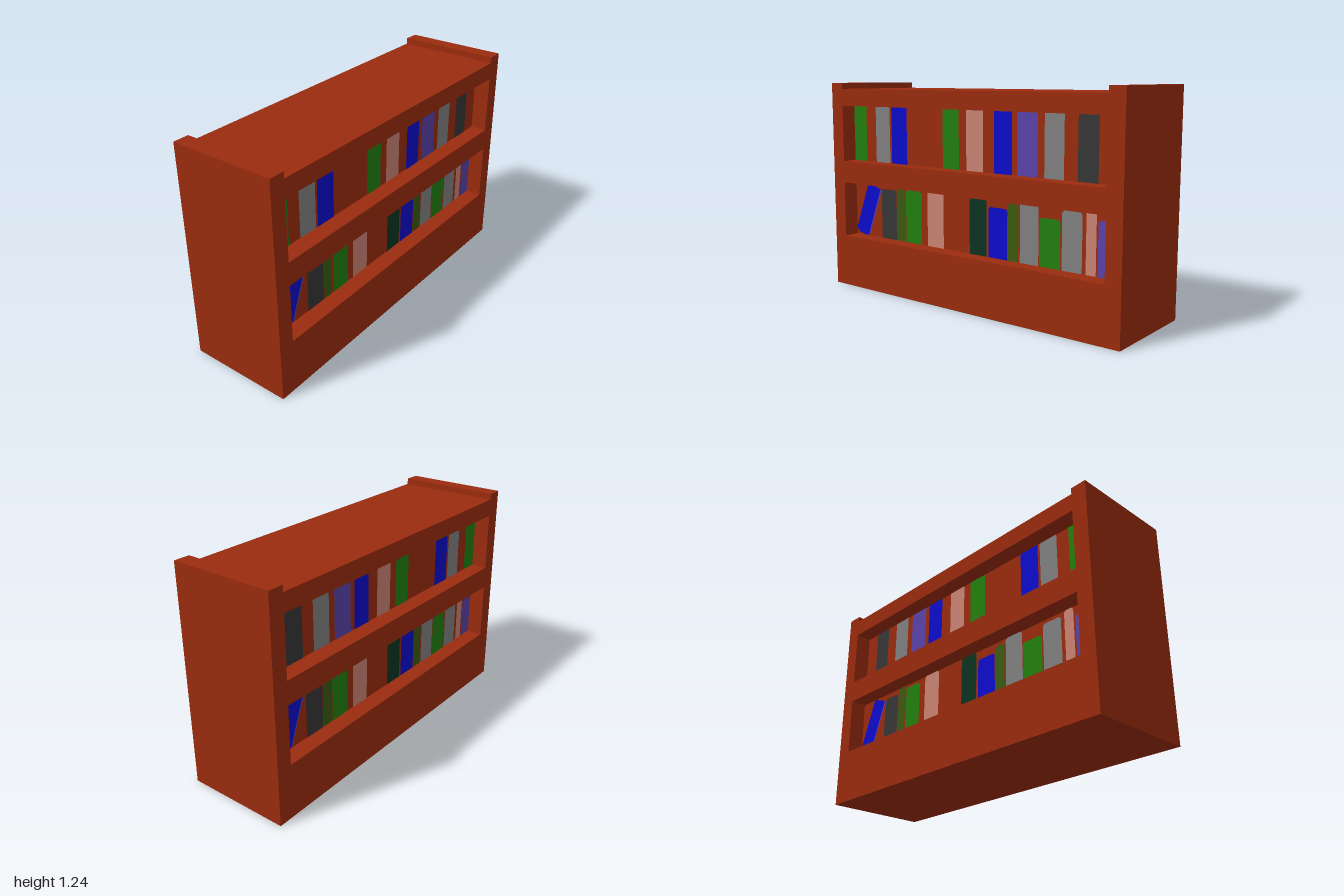
import * as THREE from 'three';

const mat = (name, color) => Object.assign(new THREE.MeshStandardMaterial({ color }), { name });

export function createModel() {
  const M = {
    wood: mat('red brown wood', 0x9a2b0e),
    blue: mat('blue', 0x0c0ccc),
    green: mat('green', 0x227f0e),
    gray: mat('gray', 0x808080),
    charcoal: mat('charcoal', 0x363636),
    pink: mat('pink', 0xc98373),
    violet: mat('violet', 0x5a42a8),
    olive: mat('olive', 0x3a5a10),
    pine: mat('dark green', 0x0c3320),
  };
  const model = new THREE.Group();
  model.name = 'bookcase';

  const HALF = 0.91;      // half of the inner width
  const DEPTH = 0.6;
  const PANEL = 0.41;     // thickness of the core behind the books

  const box = (name, x, y0, y1, w, d) => {
    const m = new THREE.Mesh(new THREE.BoxGeometry(w, y1 - y0, d), M.wood);
    m.position.set(x, (y0 + y1) / 2, 0);
    m.name = name;
    model.add(m);
  };

  // Carcass: end boards, full-depth boards and the recessed cores
  box('leftEndBoard', 0.955, 0, 1.24, 0.09, DEPTH);
  box('rightEndBoard', -0.955, 0, 1.24, 0.09, DEPTH);
  box('base', 0, 0, 0.31, 2 * HALF, DEPTH);
  box('middleShelf', 0, 0.64, 0.77, 2 * HALF, DEPTH);
  box('topBoard', 0, 1.105, 1.205, 2 * HALF, DEPTH);
  box('lowerCore', 0, 0.31, 0.64, 2 * HALF, PANEL);
  box('upperCore', 0, 0.77, 1.105, 2 * HALF, PANEL);

  // Flat book spines: [colour, x from, x to, top]
  const upper = [
    ['green', -0.91, -0.803], ['gray', -0.722, -0.605], ['blue', -0.59, -0.466],
    ['green', -0.188, -0.07], ['pink', -0.017, 0.1], ['blue', 0.176, 0.294],
    ['violet', 0.326, 0.455], ['gray', 0.497, 0.615], ['charcoal', 0.695, 0.812],
  ];
  const lower = [
    ['charcoal', -0.685, -0.56, 0.61], ['olive', -0.556, -0.492, 0.64], ['green', -0.482, -0.358, 0.622],
    ['pink', -0.31, -0.187, 0.64], ['pine', 0.005, 0.123, 0.64], ['blue', 0.138, 0.264, 0.587],
    ['olive', 0.27, 0.337, 0.62], ['gray', 0.347, 0.465, 0.64], ['green', 0.47, 0.598, 0.567],
    ['gray', 0.608, 0.727, 0.62], ['pink', 0.749, 0.807, 0.64], ['violet', 0.817, 0.91, 0.592],
  ];

  const plate = (group, name, color, points) => {
    const shape = new THREE.Shape(points.map(([x, y]) => new THREE.Vector2(x, y)));
    const m = new THREE.Mesh(new THREE.ShapeGeometry(shape), M[color]);
    m.position.z = PANEL / 2 + 0.002;
    m.name = name;
    group.add(m);
  };

  for (const side of ['front', 'back']) {
    const books = new THREE.Group();
    books.name = side + 'Books';
    if (side === 'back') books.rotation.y = Math.PI;

    // Upper row: square spines, with matching positions on both faces
    for (const [color, a, b] of upper) {
      const [x0, x1] = side === 'back' ? [-b, -a] : [a, b];
      plate(books, 'upperBook', color, [[x0, 0.77], [x1, 0.77], [x1, 1.105], [x0, 1.105]]);
    }

    // Lower row: clipped top corners
    for (const [color, a, b, top] of lower) {
      const c = 0.012;
      plate(books, 'lowerBook', color,
        [[a, 0.31], [b, 0.31], [b, top - c], [b - c, top], [a + c, top], [a, top - c]]);
    }

    // Leaning book and its narrow violet edge
    plate(books, 'leaningBook', 'blue',
      [[-0.91, 0.35], [-0.885, 0.322], [-0.825, 0.31], [-0.805, 0.315], [-0.695, 0.605], [-0.79, 0.64], [-0.803, 0.625]]);
    plate(books, 'leaningBookEdge', 'violet',
      [[-0.805, 0.315], [-0.795, 0.32], [-0.688, 0.595], [-0.695, 0.605]]);
    model.add(books);
  }
  return model;
}
